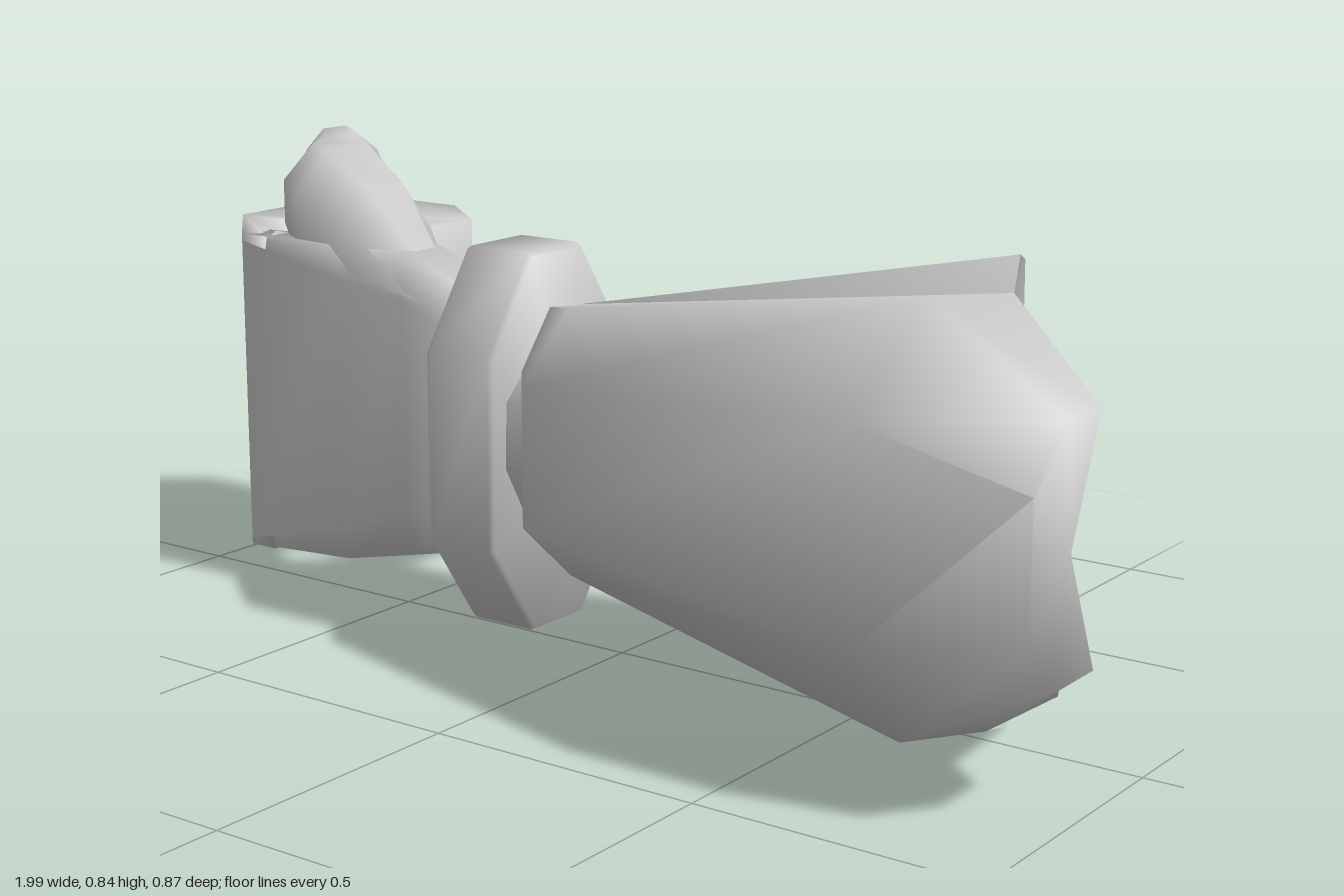
import * as THREE from 'three';
import { toCreasedNormals } from 'three/addons/utils/BufferGeometryUtils.js';

const material = new THREE.MeshStandardMaterial({ color: 0xcccccc });

function addMesh(group, name, geometry, crease = 1.7) {
  const mesh = new THREE.Mesh(toCreasedNormals(geometry, crease), material);
  mesh.name = name;
  group.add(mesh);
}

// Closed solid through rings of [x, y, z] points, capped with fans at both ends
function loft(rings) {
  const n = rings[0].length;
  const pos = rings.flat(2);
  const idx = [];
  for (let r = 0; r < rings.length - 1; r++) {
    for (let i = 0; i < n; i++) {
      const a = r * n + i, b = r * n + (i + 1) % n;
      idx.push(a, b, a + n, b, b + n, a + n);
    }
  }
  [rings[0], rings[rings.length - 1]].forEach((ring, end) => {
    const c = pos.length / 3, start = end ? (rings.length - 1) * n : 0;
    for (let k = 0; k < 3; k++) pos.push(ring.reduce((s, p) => s + p[k], 0) / n);
    for (let i = 0; i < n; i++) {
      const a = start + i, b = start + (i + 1) % n;
      if (end) idx.push(a, b, c); else idx.push(b, a, c);
    }
  });
  // Turn the faces outwards if the signed volume is negative
  const v = i => new THREE.Vector3().fromArray(pos, i * 3);
  let volume = 0;
  for (let i = 0; i < idx.length; i += 3) volume += v(idx[i]).dot(v(idx[i + 1]).cross(v(idx[i + 2])));
  if (volume < 0) idx.reverse();
  const g = new THREE.BufferGeometry();
  g.setAttribute('position', new THREE.Float32BufferAttribute(pos, 3));
  g.setIndex(idx);
  return g;
}

// Chamfered rectangle in the yz plane
function boxRing(x, y0, y1, z0, z1, k = 0.3) {
  const cy = (y1 - y0) * k, cz = (z1 - z0) * k;
  return [
    [y0, z0 + cz], [y0, z1 - cz], [y0 + cy, z1], [y1 - cy, z1],
    [y1, z1 - cz], [y1, z0 + cz], [y1 - cy, z0], [y0 + cy, z0],
  ].map(([y, z]) => [x, y, z]);
}

export function createModel() {
  const group = new THREE.Group();
  group.name = 'gauntletArm';

  // Flared sleeve with a slanted rim, a shallow dish and a small socket; rim is [x, y, z]
  const rim = [[0.72, 0.78, -0.07], [0.64, 0.74, -0.24], [0.59, 0.575, -0.34], [0.59, 0.24, -0.34],
    [0.64, 0.065, -0.24], [0.72, 0, -0.07], [0.79, 0.065, 0.12], [0.95, 0.18, 0.2],
    [0.985, 0.32, 0.27], [0.985, 0.53, 0.265], [0.97, 0.62, 0.18], [0.79, 0.75, 0.08]];
  const base = rim.map(([, y, z]) => [-0.1, 0.4 + (y - 0.39) * 0.55, (z + 0.04) * 0.62 + 0.005]);
  const socket = x => rim.map(([, y, z]) => [x, 0.387 + (y - 0.39) * 0.25, -0.012 + (z + 0.045) * 0.27]);
  const hole = socket(0.6);
  const dish = (t, dx) => rim.map((p, i) => p.map((c, k) =>
    c + (hole[i][k] - c) * t + (k === 0 ? dx : 0)));
  addMesh(group, 'sleeve', loft([base, rim, dish(0.25, 0), dish(0.65, -0.03), hole, socket(0.45)]), 1.4);

  // Thick guard wrapping the front of the sleeve; sections are [z, y] outlines
  const guard = [
    [-0.11, [[0, 0.61], [0.06, 0.62], [0.14, 0.52], [0.14, 0.28], [0.06, 0.18],
      [0, 0.19], [-0.02, 0.25], [-0.04, 0.33], [-0.04, 0.47], [-0.02, 0.55]]],
    [-0.03, [[0, 0.625], [0.11, 0.635], [0.24, 0.52], [0.24, 0.28], [0.11, 0.165],
      [0, 0.175], [0.02, 0.25], [0.05, 0.33], [0.05, 0.47], [0.02, 0.55]]],
    [0.72, [[0.08, 0.75], [0.22, 0.76], [0.42, 0.605], [0.43, 0.26], [0.265, 0.075],
      [0.12, 0.065], [0.17, 0.19], [0.23, 0.31], [0.23, 0.53], [0.15, 0.64]]],
    [0.99, [[0.18, 0.62], [0.28, 0.62], [0.38, 0.53], [0.38, 0.31], [0.28, 0.22],
      [0.17, 0.22], [0.21, 0.25], [0.26, 0.32], [0.255, 0.53], [0.2, 0.59]]],
  ];
  addMesh(group, 'frontGuard', loft(guard.map(([x, pts]) => pts.map(([z, y], i) =>
    [x === 0.72 && (i === 0 || i === 5) ? 0.79 : x, y, z]))), 1.4);

  // Wrist joint
  addMesh(group, 'wrist', loft([boxRing(-0.25, 0.27, 0.53, -0.12, 0.1), boxRing(-0.09, 0.27, 0.53, -0.12, 0.1)]));

  // Tall octagonal cuff with softened edges
  const cuffRing = (x, s) => [[0.07, 0.34], [0.185, 0.17], [0.185, -0.17], [0.07, -0.34],
    [-0.07, -0.34], [-0.185, -0.17], [-0.185, 0.17], [-0.07, 0.34]]
    .map(([z, y]) => [x, 0.37 + y * s, -0.005 + z * s]);
  addMesh(group, 'cuff', loft([cuffRing(-0.29, 0.98), cuffRing(-0.28, 1), cuffRing(-0.155, 1), cuffRing(-0.145, 0.98)]));

  // Palm
  addMesh(group, 'palm', loft([
    boxRing(-0.27, 0.15, 0.6, -0.065, 0.055, 0.18),
    boxRing(-0.45, 0.11, 0.675, -0.075, 0.06, 0.15),
    boxRing(-0.6, 0.08, 0.675, -0.05, 0.065, 0.1),
    boxRing(-0.84, 0.07, 0.675, 0.0, 0.065, 0.02),
  ]));

  // Curled fingers: an outline in x and z, extruded over the height of the hand
  const curl = new THREE.Shape([
    [-0.78, 0.065], [-0.84, 0.065], [-1, -0.1], [-1, -0.35], [-0.89, -0.435], [-0.74, -0.435],
    [-0.6, -0.32], [-0.6, -0.2], [-0.7, -0.15], [-0.83, -0.17], [-0.875, -0.1], [-0.82, 0], [-0.78, 0],
  ].map(p => new THREE.Vector2(...p)));
  const fingers = new THREE.ExtrudeGeometry(curl, { depth: 0.605, bevelEnabled: false });
  fingers.rotateX(Math.PI / 2).translate(0, 0.675, 0);
  addMesh(group, 'fingers', fingers);

  // Thumb rising flush from the palm and folded over the top of the fist
  addMesh(group, 'thumb', loft([
    boxRing(-0.34, 0.45, 0.61, -0.06, 0.05),
    boxRing(-0.46, 0.45, 0.68, -0.085, 0.058),
    boxRing(-0.58, 0.48, 0.765, -0.175, 0.06),
    boxRing(-0.72, 0.57, 0.83, -0.245, 0.045),
    boxRing(-0.79, 0.63, 0.835, -0.28, 0.0),
    boxRing(-0.82, 0.7, 0.84, -0.295, -0.08),
    boxRing(-0.89, 0.72, 0.84, -0.33, -0.17),
    boxRing(-0.93, 0.76, 0.815, -0.305, -0.225),
  ]));

  return group;
}
